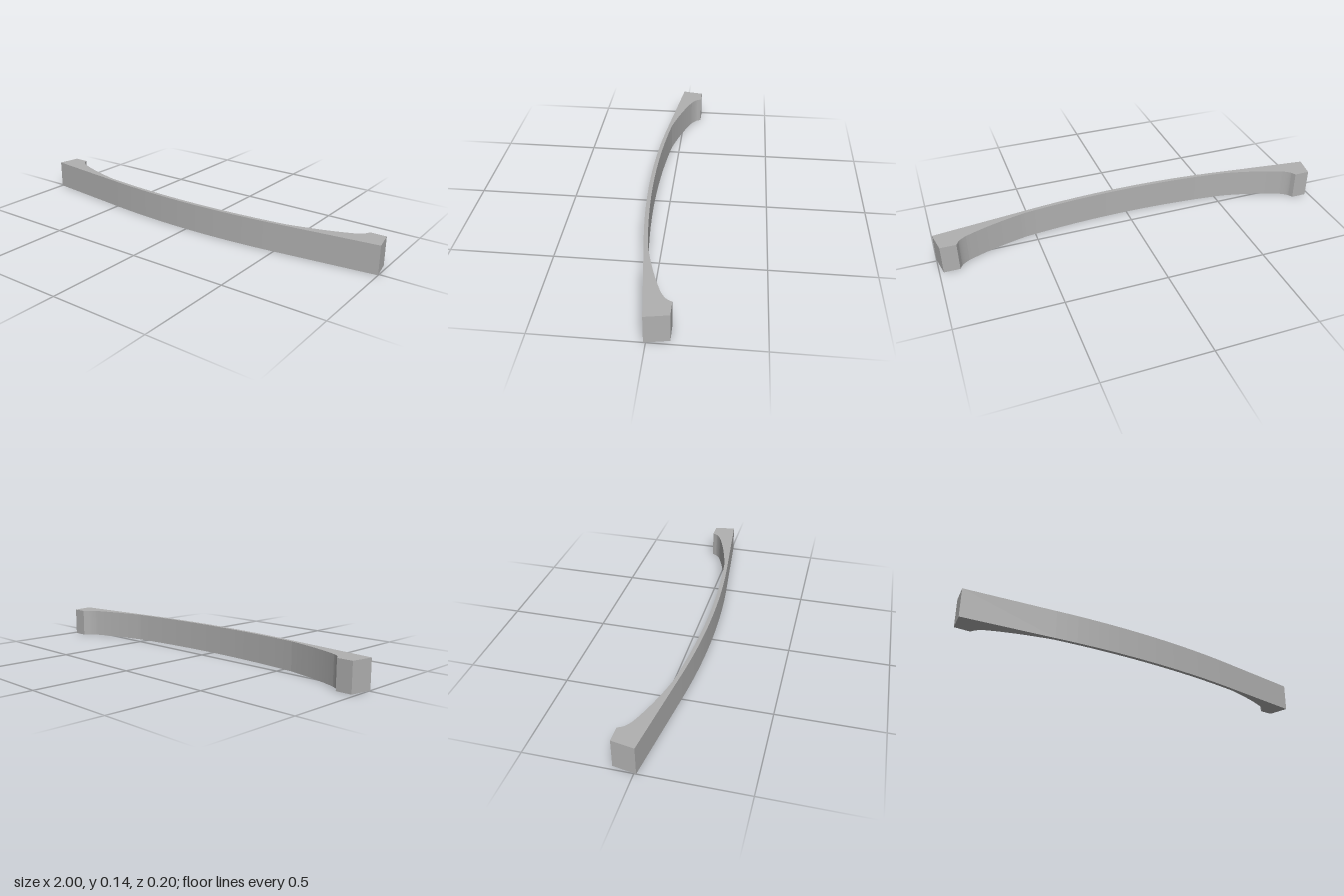
import * as THREE from 'three';

const HEIGHT = 0.143;

export function createModel() {
  const group = new THREE.Group();
  group.name = 'curvedBar';
  const grey = new THREE.MeshStandardMaterial({ color: 0xb0b0b0 });
  grey.name = 'plainGrey';

  // Plan outline, drawn with shape y = -z
  const s = new THREE.Shape();
  s.moveTo(-1, -0.01);
  // bowed front face with straight ends
  s.lineTo(-0.55, -0.064);
  s.quadraticCurveTo(0, -0.136, 0.55, -0.064);
  s.lineTo(1, -0.01);
  // left end block
  s.lineTo(0.98, 0.1);
  s.lineTo(0.902, 0.1);
  s.lineTo(0.89, 0.078);
  s.quadraticCurveTo(0.88, 0.064, 0.85, 0.047);
  // thin back face between flared wings
  s.quadraticCurveTo(0.73, -0.005, 0.55, -0.045);
  s.quadraticCurveTo(0, -0.115, -0.55, -0.045);
  s.quadraticCurveTo(-0.73, -0.005, -0.85, 0.047);
  // right end block
  s.quadraticCurveTo(-0.88, 0.064, -0.89, 0.078);
  s.lineTo(-0.902, 0.1);
  s.lineTo(-0.98, 0.1);
  s.closePath();

  const geometry = new THREE.ExtrudeGeometry(s, { depth: HEIGHT, bevelEnabled: false, curveSegments: 20 });
  geometry.rotateX(-Math.PI / 2);

  const bar = new THREE.Mesh(geometry, grey);
  bar.name = 'bowedBar';
  group.add(bar);
  return group;
}
